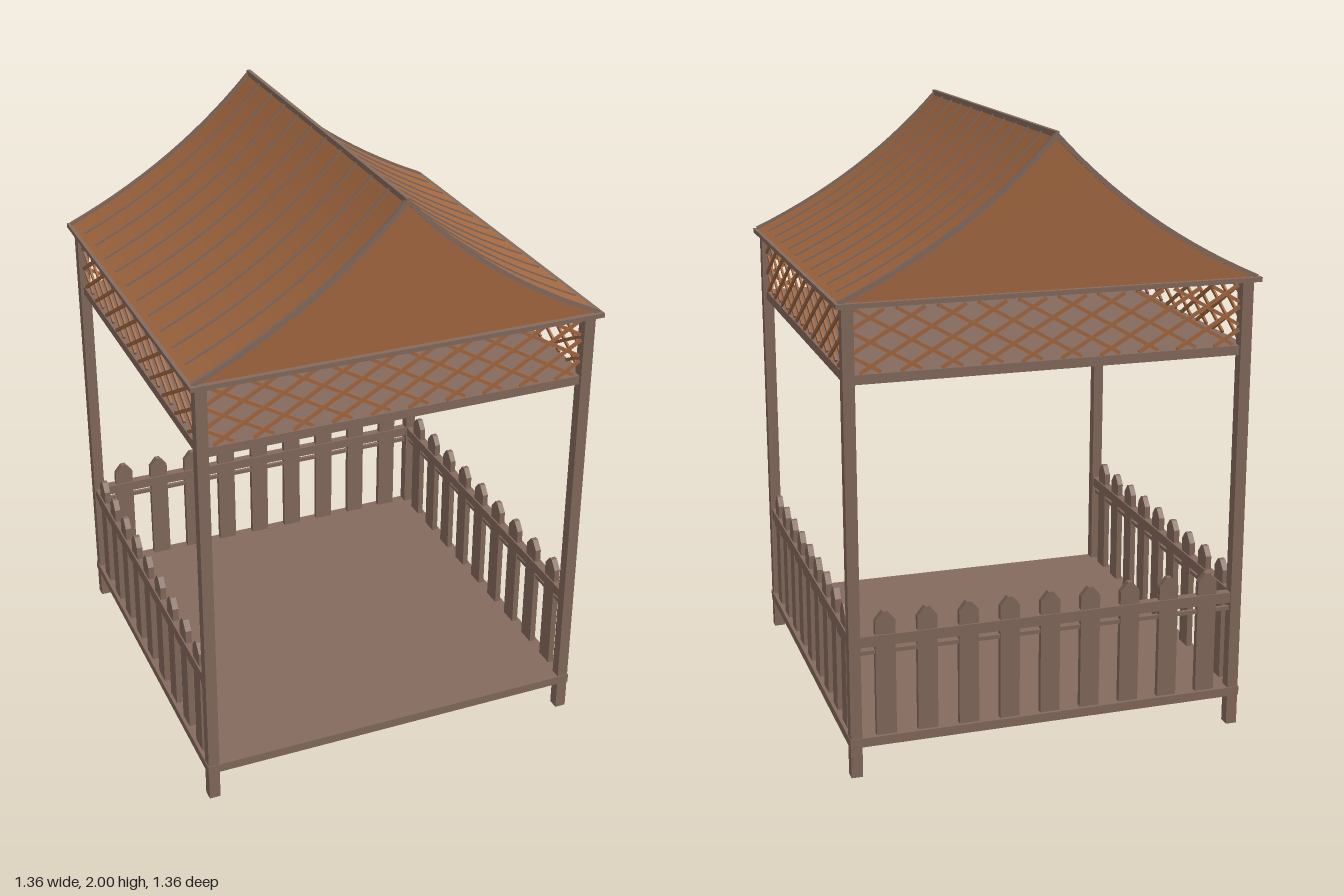
import * as THREE from 'three';
import { toCreasedNormals } from 'three/addons/utils/BufferGeometryUtils.js';

const timber = new THREE.MeshStandardMaterial({ color: 0x856b5e });
timber.name = 'greyBrownTimber';
const cedar = new THREE.MeshStandardMaterial({ color: 0xa36840 });
cedar.name = 'warmCedar';

function add(parent, name, geometry, material, x = 0, y = 0, z = 0) {
  const mesh = new THREE.Mesh(geometry, material);
  mesh.name = name;
  mesh.position.set(x, y, z);
  parent.add(mesh);
  return mesh;
}

function box(parent, name, material, w, h, d, x, y, z) {
  return add(parent, name, new THREE.BoxGeometry(w, h, d), material, x, y, z);
}

// Swept roof line from left eave over the ridge to right eave, raised by lift
function roofLine(lift, reach = 1) {
  const curve = new THREE.QuadraticBezierCurve(
    new THREE.Vector2(0, 1.988), new THREE.Vector2(0.27, 1.7), new THREE.Vector2(0.668, 1.524));
  const right = [];
  const n = 14;
  for (let i = 1; i <= n; i++) {
    const t = (i / n) * reach;
    const p = curve.getPoint(t);
    const tan = curve.getTangent(t);
    right.push(new THREE.Vector2(p.x - tan.y * lift, p.y + tan.x * lift));
  }
  const left = right.map((p) => new THREE.Vector2(-p.x, p.y)).reverse();
  return [...left, new THREE.Vector2(0, 1.988 + lift * 1.45), ...right];
}

function extrude(points, depth) {
  const geometry = new THREE.ExtrudeGeometry(new THREE.Shape(points), { depth, bevelEnabled: false });
  geometry.translate(0, 0, -depth / 2);
  return toCreasedNormals(geometry, 0.4);
}

// Strip that follows the roof curve
function roofBand(lift, sink, width, reach) {
  return extrude([...roofLine(lift, reach), ...roofLine(-sink, reach).reverse()], width);
}

// Picket fence along x, centred on z = 0
function makeFence() {
  const fence = new THREE.Group();
  const w = 0.0325;
  const picket = extrude([[-w, 0.12], [w, 0.12], [w, 0.515], [0.008, 0.545], [-0.008, 0.545], [-w, 0.515]]
    .map(([x, y]) => new THREE.Vector2(x, y)), 0.02);
  for (let i = -4; i <= 4; i++) add(fence, 'picket', picket, timber, i * 0.1355);
  box(fence, 'topRail', timber, 1.26, 0.035, 0.03, 0, 0.452, 0);
  box(fence, 'thinRail', timber, 1.26, 0.013, 0.013, 0, 0.412, 0);
  return fence;
}

// Diagonal lattice along x, each slat clipped to the frieze rectangle
function makeLattice() {
  const lattice = new THREE.Group();
  const hx = 0.622, y0 = 1.305, y1 = 1.497;
  const pitch = 0.127, slope = 0.58, run = (y1 - y0) / slope;
  for (const side of [1, -1]) {
    for (let k = -7; k <= 6; k++) {
      const start = k * pitch + 0.03;
      const a = Math.max(start, -hx), b = Math.min(start + run, hx);
      if (b - a < 0.015) continue;
      const ya = y0 + (a - start) * slope, yb = y0 + (b - start) * slope;
      const slat = box(lattice, 'slat', cedar, Math.hypot(b - a, yb - ya), 0.011, 0.007,
        side * (a + b) / 2, (ya + yb) / 2, side * 0.0035);
      slat.rotation.z = side * Math.atan(slope);
    }
  }
  return lattice;
}

export function createModel() {
  const model = new THREE.Group();
  model.name = 'gardenPavilion';
  const edge = 0.642;

  // Floor, ceiling and eave boards
  box(model, 'floor', timber, 1.326, 0.03, 1.326, 0, 0.117, 0);
  box(model, 'ceiling', timber, 1.3, 0.03, 1.3, 0, 1.287, 0);
  box(model, 'eaveBoard', timber, 1.36, 0.015, 1.36, 0, 1.517, 0);

  // Corner posts
  for (const x of [-edge, edge]) {
    for (const z of [-edge, edge]) box(model, 'cornerPost', timber, 0.037, 1.515, 0.037, x, 0.7575, z);
  }

  // Lattice on four sides, fence on all but the front
  for (let i = 0; i < 4; i++) {
    const turn = i * Math.PI / 2;
    const parts = { lattice: makeLattice() };
    if (i > 0) parts.fence = makeFence();
    for (const [name, part] of Object.entries(parts)) {
      part.name = name;
      part.rotation.y = turn;
      part.position.set(Math.sin(turn) * edge, 0, Math.cos(turn) * edge);
      model.add(part);
    }
  }

  // Curved roof with closed gables
  add(model, 'roof', extrude(roofLine(0), 1.326), cedar);

  // Battens over the roof, heavier trim at the gables
  const batten = roofBand(0.005, 0.003, 0.008, 0.975);
  for (let i = 0; i < 10; i++) add(model, 'roofBatten', batten, timber, 0, 0, (i - 4.5) * 0.121);
  const trim = roofBand(0.008, 0.006, 0.014, 1);
  for (const z of [-0.661, 0.661]) add(model, 'gableTrim', trim, timber, 0, 0, z);

  // Ridge cap
  box(model, 'ridgeCap', timber, 0.013, 0.018, 1.336, 0, 1.991, 0);

  return model;
}
